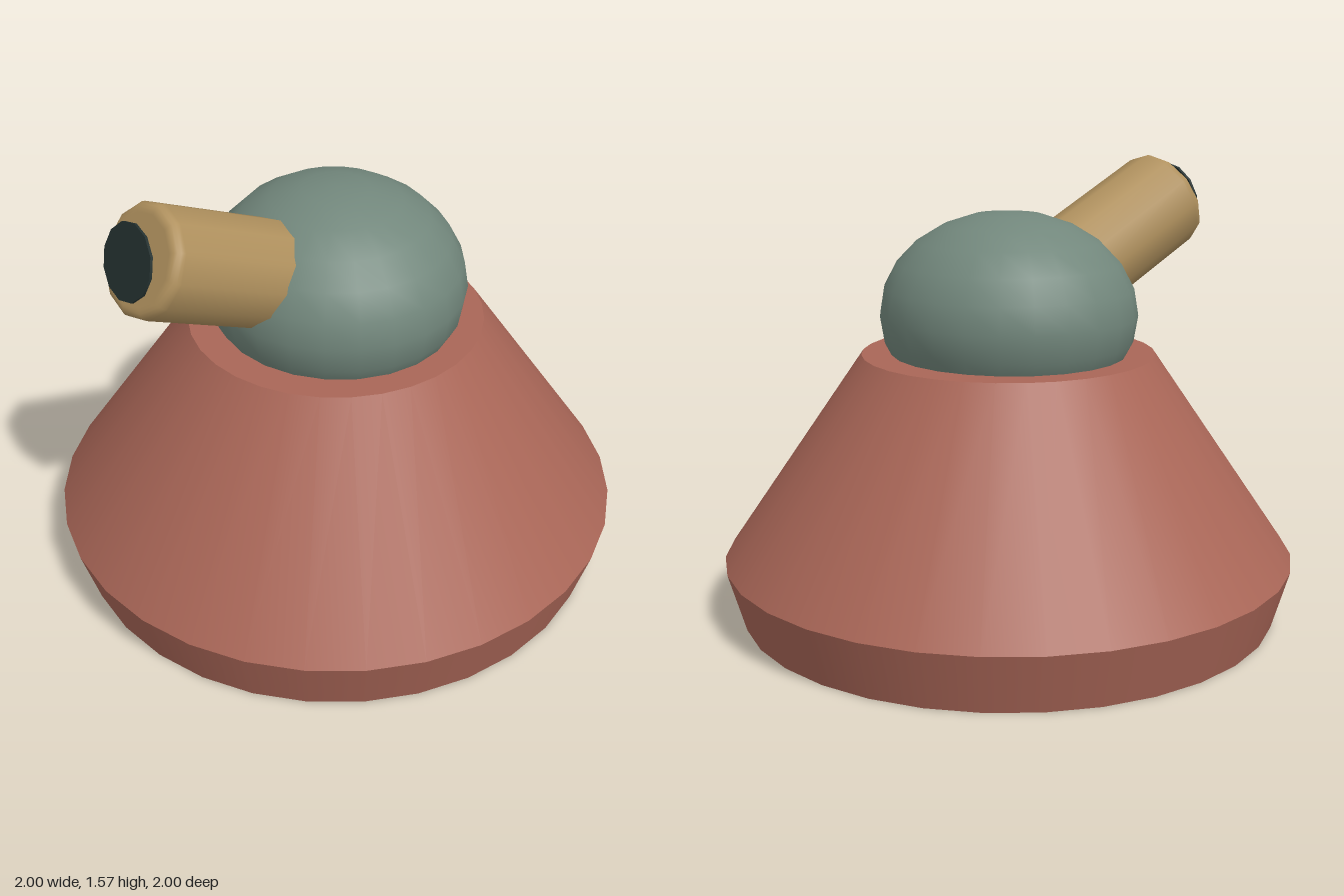
import * as THREE from 'three';

export function createModel() {
  const group = new THREE.Group();
  const mat = (name, color) => {
    const m = new THREE.MeshStandardMaterial({ color });
    m.name = name;
    return m;
  };
  const clay = mat('clay red', 0xa96657);
  const sage = mat('sage green', 0x72877c);
  const tan = mat('tan', 0xb0915e);
  const dark = mat('dark slate', 0x243130);

  const add = (name, geometry, material, y, z = 0, tilt = 0) => {
    const mesh = new THREE.Mesh(geometry, material);
    mesh.name = name;
    mesh.position.set(0, y, z);
    mesh.rotation.x = tilt;
    group.add(mesh);
    return mesh;
  };

  // Base: flared foot below a wide sloping cone
  const footHeight = 0.205, baseHeight = 0.92, coneHeight = baseHeight - footHeight;
  add('baseFoot', new THREE.CylinderGeometry(1, 0.94, footHeight, 32, 1, true), clay, footHeight / 2);
  add('baseCone', new THREE.CylinderGeometry(0.51, 1, coneHeight, 32, 1, true), clay, footHeight + coneHeight / 2);
  add('baseTop', new THREE.CircleGeometry(0.51, 32), clay, baseHeight, 0, -Math.PI / 2);
  add('baseBottom', new THREE.CircleGeometry(0.94, 32), clay, 0, 0, Math.PI / 2);

  // Flattened dome sunk into the base
  const dome = add('dome', new THREE.SphereGeometry(1, 24, 12), sage, 1.055);
  dome.scale.set(0.457, 0.355, 0.44);

  // Barrel with a rounded front rim, pitched upwards
  const r = 0.183, end = 0.455, bevel = 0.03;
  const profile = [[0, -0.25], [r, -0.25], [r, -0.24], [r, end - bevel - 0.005]];
  for (let i = 0; i <= 4; i++) {
    const a = (i / 4) * Math.PI / 2;
    profile.push([r - bevel + bevel * Math.cos(a), end - bevel + bevel * Math.sin(a)]);
  }
  profile.push([r - bevel - 0.008, end], [0, end]);
  const barrel = new THREE.LatheGeometry(profile.map(([x, y]) => new THREE.Vector2(x, y)), 12);
  add('barrel', barrel, tan, 1.215, 0.356, THREE.MathUtils.degToRad(64.3));

  // Thin dark disc just in front of the muzzle
  add('muzzleDisc', new THREE.CylinderGeometry(0.124, 0.124, 0.009, 12), dark,
    1.418, 0.802, THREE.MathUtils.degToRad(72.3));

  return group;
}
